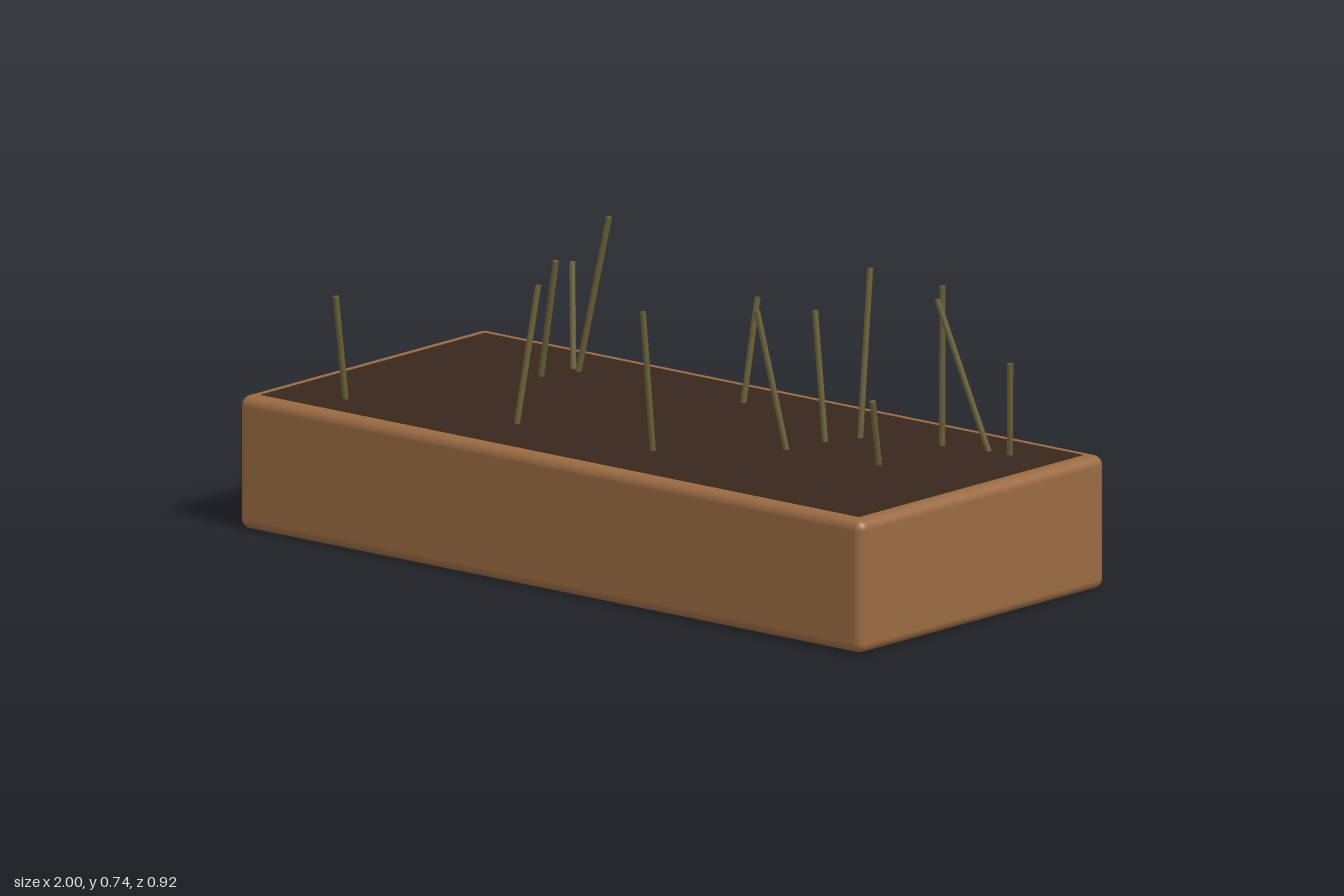
import * as THREE from 'three';
import { RoundedBoxGeometry } from 'three/addons/geometries/RoundedBoxGeometry.js';

const mat = (name, color) => {
  const m = new THREE.MeshStandardMaterial({ color });
  m.name = name;
  return m;
};

const TOP = 0.333; // height of the planter

// each stem: base x, base z, tip x, tip y, tip z
const STEMS = [
  [-0.775, 0.317, -0.782, 0.595, 0.346],
  [-0.293, 0.238, -0.29, 0.668, 0.162],
  [0.136, 0.23, 0.118, 0.681, 0.246],
  [-0.566, -0.169, -0.513, 0.632, -0.163],
  [-0.558, -0.28, -0.613, 0.583, -0.34],
  [-0.53, -0.267, -0.46, 0.726, -0.3],
  [-0.018, -0.288, -0.018, 0.588, -0.34],
  [0.437, -0.194, 0.402, 0.741, -0.272],
  [0.394, -0.113, 0.347, 0.651, -0.13],
  [0.375, 0.01, 0.306, 0.675, 0.039],
  [0.65, -0.016, 0.666, 0.503, 0.026],
  [0.638, -0.266, 0.628, 0.73, -0.279],
  [0.759, -0.298, 0.652, 0.708, -0.231],
  [0.825, -0.301, 0.834, 0.565, -0.292],
];

export function createModel() {
  const model = new THREE.Group();
  const clay = mat('brown clay', 0x9a6a43);
  const earth = mat('dark soil', 0x38271c);
  const straw = mat('dry stem', 0x6b6039);

  // planter block with softened edges
  const planter = new THREE.Mesh(new RoundedBoxGeometry(2, TOP, 0.916, 4, 0.025), clay);
  planter.name = 'planter';
  planter.position.y = TOP / 2;
  model.add(planter);

  // thin soil surface inside the rim
  const soil = new THREE.Mesh(new THREE.BoxGeometry(1.92, 0.006, 0.836), earth);
  soil.name = 'soil';
  soil.position.y = TOP - 0.002;
  model.add(soil);

  // leaning dry stems, rooted just below the soil
  const stems = new THREE.Group();
  stems.name = 'stems';
  const up = new THREE.Vector3(0, 1, 0);
  for (const [bx, bz, tx, ty, tz] of STEMS) {
    const tip = new THREE.Vector3(tx, ty, tz);
    const dir = tip.clone().sub(new THREE.Vector3(bx, TOP, bz));
    const length = dir.length() + 0.03;
    dir.normalize();
    const stem = new THREE.Mesh(new THREE.CylinderGeometry(0.008, 0.008, length, 5), straw);
    stem.name = 'stem';
    stem.quaternion.setFromUnitVectors(up, dir);
    stem.position.copy(tip).addScaledVector(dir, -length / 2);
    stems.add(stem);
  }
  model.add(stems);
  return model;
}
